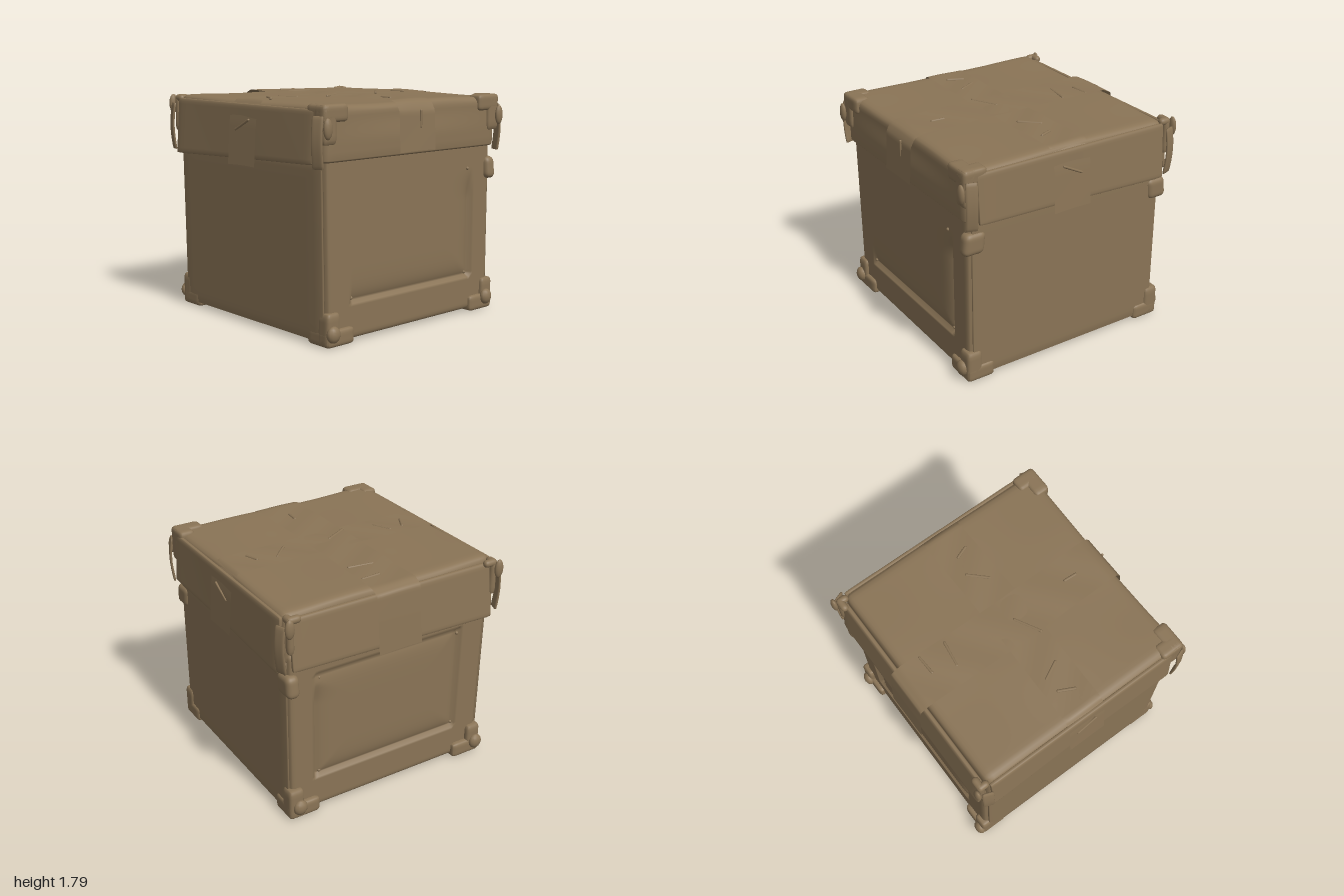
import * as THREE from 'three';
import { mergeVertices } from 'three/addons/utils/BufferGeometryUtils.js';

const cardboard = new THREE.MeshStandardMaterial({ color: 0x8a7456, side: THREE.DoubleSide });
cardboard.name = 'cardboard brown';

// Rounded box between two corners, with an optional rule that moves each vertex
function softBox(min, max, r, segs, rule) {
  const lo = new THREE.Vector3(...min), hi = new THREE.Vector3(...max);
  const size = hi.clone().sub(lo), c = lo.clone().add(hi).multiplyScalar(0.5);
  let g = new THREE.BoxGeometry(size.x, size.y, size.z, ...segs);
  g.translate(c.x, c.y, c.z);
  g.deleteAttribute('normal');
  g.deleteAttribute('uv');
  g = mergeVertices(g, 1e-4);
  const inLo = lo.clone().addScalar(r), inHi = hi.clone().subScalar(r);
  const p = g.attributes.position, v = new THREE.Vector3(), q = new THREE.Vector3();
  for (let i = 0; i < p.count; i++) {
    v.fromBufferAttribute(p, i);
    q.copy(v).clamp(inLo, inHi);
    v.sub(q);
    if (v.length() > 0) v.setLength(r);
    v.add(q);
    if (rule) rule(v);
    p.setXYZ(i, v.x, v.y, v.z);
  }
  g.computeVertexNormals();
  return g;
}

// Tape strip: follows [across, y] points, wide along the other floor axis
function tapeStrip(points, from, to, alongX) {
  const path = new THREE.CurvePath();
  const pts = points.map(([a, y]) => new THREE.Vector3(a, y, 0));
  for (let i = 1; i < pts.length; i++) path.add(new THREE.LineCurve3(pts[i - 1], pts[i]));
  const g = new THREE.PlaneGeometry(1, 1, 120, 10);
  const p = g.attributes.position;
  for (let i = 0; i < p.count; i++) {
    const t = p.getX(i) + 0.5, s = p.getY(i) + 0.5;
    const a = path.getPointAt(Math.min(t, 1));
    const y = a.y + 0.003 * Math.sin(t * 37 + s * 4);
    const w = from + (to - from) * s + 0.006 * Math.sin(t * 9);
    if (alongX) p.setXYZ(i, a.x, y, -w);
    else p.setXYZ(i, w, y, a.x);
  }
  g.computeVertexNormals();
  return g;
}

const fade = (x, a, b) => THREE.MathUtils.smoothstep(x, a, b);

// Pressed-in edge of the puffy panels on the front and back
function panelDepth(x, y, allSides) {
  if (x < -0.66 || x > 0.68 || y < 0.3 || y > 1.22) return 0;
  const dip = (d) => 0.045 * Math.exp(-d / 0.06);
  let depth = Math.max(dip(y - 0.3), dip(0.68 - x) * (1 - fade(y, 0.95, 1.2)));
  if (allSides) depth = Math.max(depth, dip(x + 0.66), dip(1.22 - y) * 0.5);
  return depth;
}

export function createModel() {
  const model = new THREE.Group();
  model.name = 'cardboardBox';
  const add = (name, geometry, parent = model) => {
    const mesh = new THREE.Mesh(geometry, cardboard);
    mesh.name = name;
    parent.add(mesh);
    return mesh;
  };

  // Body, slightly narrower at the foot on its right side
  add('body', softBox([-0.9, 0.02, -0.89], [0.91, 1.45, 0.9], 0.05, [84, 72, 36], (v) => {
    if (v.z > 0.87) v.z -= panelDepth(v.x, v.y, false);
    if (v.z < -0.86) v.z += panelDepth(v.x, v.y, true);
    if (v.x < 0) v.x *= 0.972 + 0.028 * v.y / 1.4;
  }));

  // Overlapping side panels
  for (const s of [-1, 1]) {
    add('sidePanel', softBox([s * 0.905 - 0.015, 0.04, -0.86], [s * 0.905 + 0.015, 1.38, 0.87], 0.008,
      [2, 20, 20], (v) => { if (s < 0) v.x += 0.022 * (1 - v.y / 1.4); }));
  }

  // Pins at the panel corners
  for (const [x, y, z] of [[-0.63, 0.34, 0.88], [0.64, 0.34, 0.87], [0.63, 1.2, 0.9],
    [-0.63, 0.34, -0.86], [0.64, 0.34, -0.86], [-0.63, 1.18, -0.87], [0.64, 1.18, -0.87]]) {
    add('pin', new THREE.SphereGeometry(0.014, 10, 8)).position.set(x, y, z);
  }

  // Lid with its front flap
  const lid = new THREE.Group();
  lid.name = 'lid';
  model.add(lid);
  add('lidTop', softBox([-0.93, 1.365, -0.87], [0.93, 1.775, 0.93], 0.06, [50, 16, 50], (v) => {
    if (v.y < 1.43) v.y = Math.min(v.y, 1.365 + (v.y - 1.365) * 0.4);
    if (v.z > 0.8) v.z -= 0.02 * Math.cos(v.x * 1.6) * fade(v.y, 1.5, 1.7);
    if (v.y > 1.74) v.y -= 0.006 * Math.sin(v.x * 5) * Math.cos(v.z * 4);
  }), lid);

  // Flared side flaps and the loose back flap
  for (const s of [-1, 1]) {
    add('sideFlap', softBox([s * 0.935 - 0.018, 1.33, -0.855], [s * 0.935 + 0.018, 1.75, 0.84], 0.014,
      [4, 20, 30], (v) => {
        const k = (1.75 - v.y) / 0.42;
        v.x += s * (0.022 * k + 0.012 * Math.abs(v.z) * k);
        v.y += k * 0.033 * v.z;
      }), lid);
  }
  add('backFlap', softBox([-0.9, 1.31, -0.915], [0.9, 1.745, -0.875], 0.018, [40, 20, 4], (v) => {
    const k = (1.745 - v.y) / 0.435;
    v.z -= 0.045 * k;
    v.y += 0.025 * v.x * k;
  }), lid);

  // Crossed tape over the lid
  add('tapeFrontToBack', tapeStrip([[-0.985, 1.28], [-0.965, 1.55], [-0.945, 1.75], [-0.87, 1.786],
    [0.85, 1.786], [0.91, 1.765], [0.945, 1.7], [0.962, 1.395]], -0.205, 0.18, false), lid);
  add('tapeSideToSide', tapeStrip([[-0.99, 1.28], [-0.965, 1.6], [-0.95, 1.72], [-0.89, 1.784],
    [0.89, 1.784], [0.95, 1.72], [0.965, 1.6], [0.99, 1.28]], -0.195, 0.135, true), lid);

  // Creases in the tape: x, y, z, length, turn about y, upright lean
  for (const [x, z, len, turn] of [[-0.7, 0.02, 0.13, 1.1], [-0.51, 0.02, 0.15, -1.1], [0.43, 0.04, 0.18, 0.8],
    [0.67, 0.06, 0.1, -1.2], [-0.12, 0.1, 0.22, 0.5], [0.04, -0.5, 0.2, -0.15], [0.08, -0.7, 0.15, 0.05], [0, 0.6, 0.1, 1.5]]) {
    const crease = add('tapeCrease', new THREE.CapsuleGeometry(0.012, len, 4, 8).rotateZ(Math.PI / 2), lid);
    crease.position.set(x, 1.782, z);
    crease.rotation.y = turn;
  }
  const frontCrease = add('tapeCrease', new THREE.CapsuleGeometry(0.01, 0.12, 4, 8), lid);
  frontCrease.position.set(0.03, 1.64, 0.948);
  for (const s of [-1, 1]) {
    const sideCrease = add('tapeCrease', new THREE.CapsuleGeometry(0.01, 0.18, 4, 8), lid);
    sideCrease.position.set(s * 0.967, 1.59, 0.02);
    sideCrease.rotation.x = 1.1;
  }

  // Tape patch with three arms wrapped round a corner; sx, up, sz point outwards
  function cornerPatch(name, x, y, z, arms, thick) {
    const patch = new THREE.Group();
    patch.name = name;
    patch.position.set(x, y, z);
    const dir = [-Math.sign(x), y > 1 ? -1 : 1, -Math.sign(z)];
    for (let axis = 0; axis < 3; axis++) {
      const far = dir.map((d, i) => d * (i === axis ? arms[axis] : thick));
      const lo = far.map((f) => Math.min(f, 0)), hi = far.map((f) => Math.max(f, 0));
      add(name + 'Arm', softBox(lo, hi, 0.03, [8, 8, 8]), patch);
    }
    model.add(patch);
  }
  for (const sx of [-1, 1]) {
    cornerPatch('lidCornerPatch', sx * 0.95, 1.79, 0.95, [0.24, 0.29, 0.2], 0.13);
    cornerPatch('lidCornerPatch', sx * 0.935, 1.775, -0.95, [0.12, 0.3, 0.1], 0.06);
    for (const sz of [-1, 1]) {
      cornerPatch('footCornerPatch', sx > 0 ? 0.935 : -0.9, 0.005, sz * 0.93, [0.27, 0.26, 0.24], 0.13);
    }
  }

  // Loose curled tape ends hanging from the lid corners
  for (const sx of [-1, 1]) for (const sz of [-1, 1]) {
    const end = add('looseTapeEnd', softBox([-0.01, 0, -0.045], [0.01, 0.38, 0.045], 0.008, [2, 14, 6], (v) => {
      v.x += sx * 0.02 * Math.sin(v.y * 8);
    }), lid);
    end.position.set(sx * 0.965, 1.33, sz * 0.9);
    end.rotation.y = sx * sz * -0.35;
    const curl = add('curledTape', new THREE.SphereGeometry(0.03, 12, 8), lid);
    curl.scale.set(1.3, 2.6, 0.8);
    curl.position.set(sx * 0.93, sz > 0 ? 1.62 : 1.7, sz * 0.965);
    // Turned-up tape at the foot
    const lump = add('footTapeCurl', new THREE.SphereGeometry(0.04, 12, 8));
    lump.scale.set(1.5, 1.6, 1);
    lump.position.set(sx * 0.85, 0.11, sz * 0.935);
  }

  // Folded tape round the left upright edges
  for (const sz of [-1, 1]) {
    add('edgePatch', softBox([0.83, 1.1, sz * 0.84 - 0.09], [0.94, 1.28, sz * 0.84 + 0.09], 0.045, [10, 12, 12],
      (v) => { v.z += sz * 0.02 * (1.28 - v.y) / 0.18; }));
  }
  return model;
}
